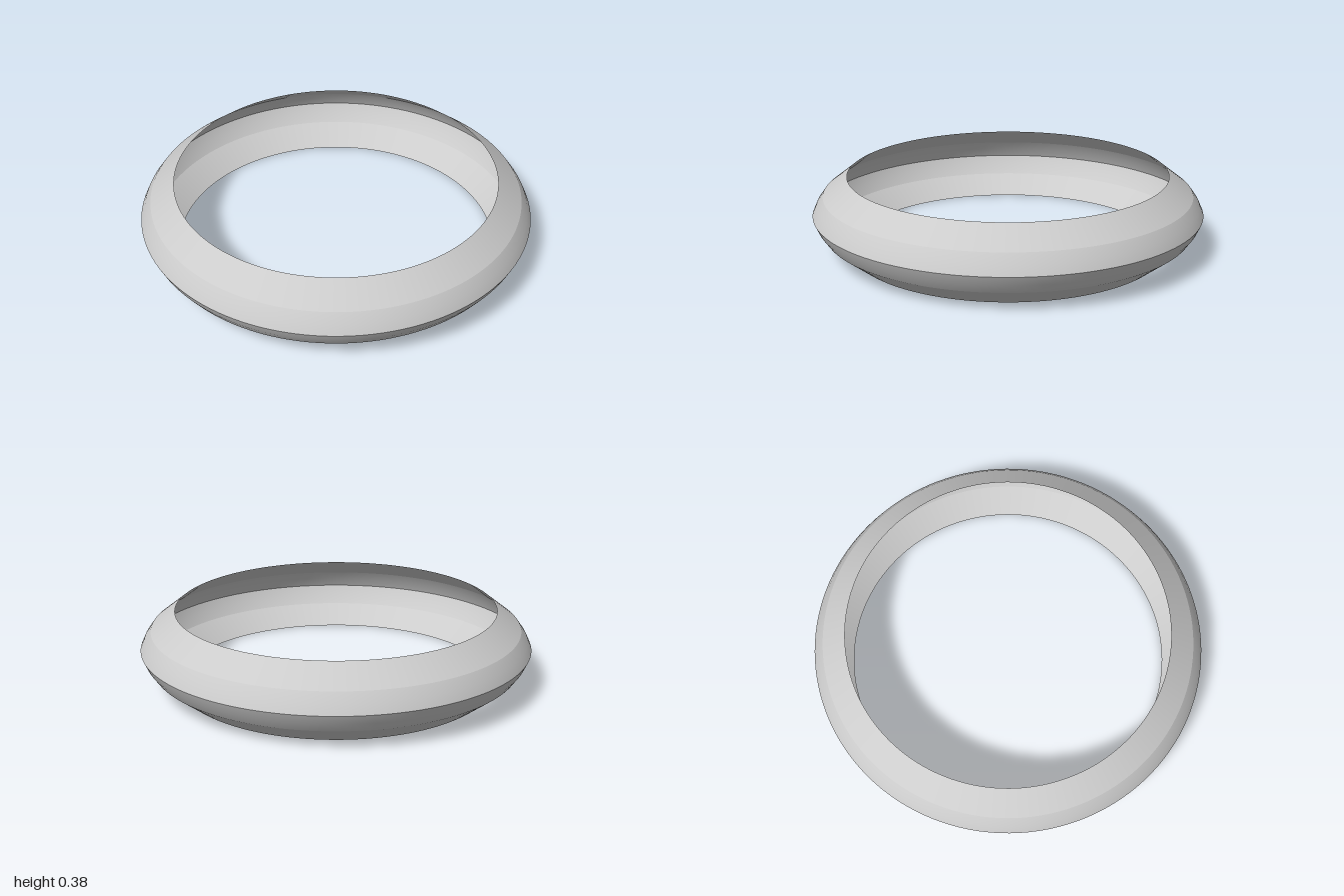
import * as THREE from 'three';

const HEIGHT = 0.385;
const SEGMENTS = 128;

export function createModel() {
  const group = new THREE.Group();
  group.name = 'ring';
  const material = new THREE.MeshStandardMaterial({ color: 0xcccccc, side: THREE.DoubleSide });

  // Open bands of the thin shell, as [radius, height] from the bottom up
  const bands = {
    Lip: [[0.82, 0], [0.945, 0.097]],
    Shoulder: [[0.945, 0.097], [0.978, 0.144], [1, HEIGHT / 2]],
  };

  const addBand = (name, profile) => {
    const points = profile.map(([r, y]) => new THREE.Vector2(r, y));
    const mesh = new THREE.Mesh(new THREE.LatheGeometry(points, SEGMENTS), material);
    mesh.name = name;
    group.add(mesh);
  };

  // Lower half, and its mirror image above the sharp equator
  for (const [name, profile] of Object.entries(bands)) {
    addBand('lower' + name, profile);
    addBand('upper' + name, profile.map(([r, y]) => [r, HEIGHT - y]).reverse());
  }
  return group;
}
